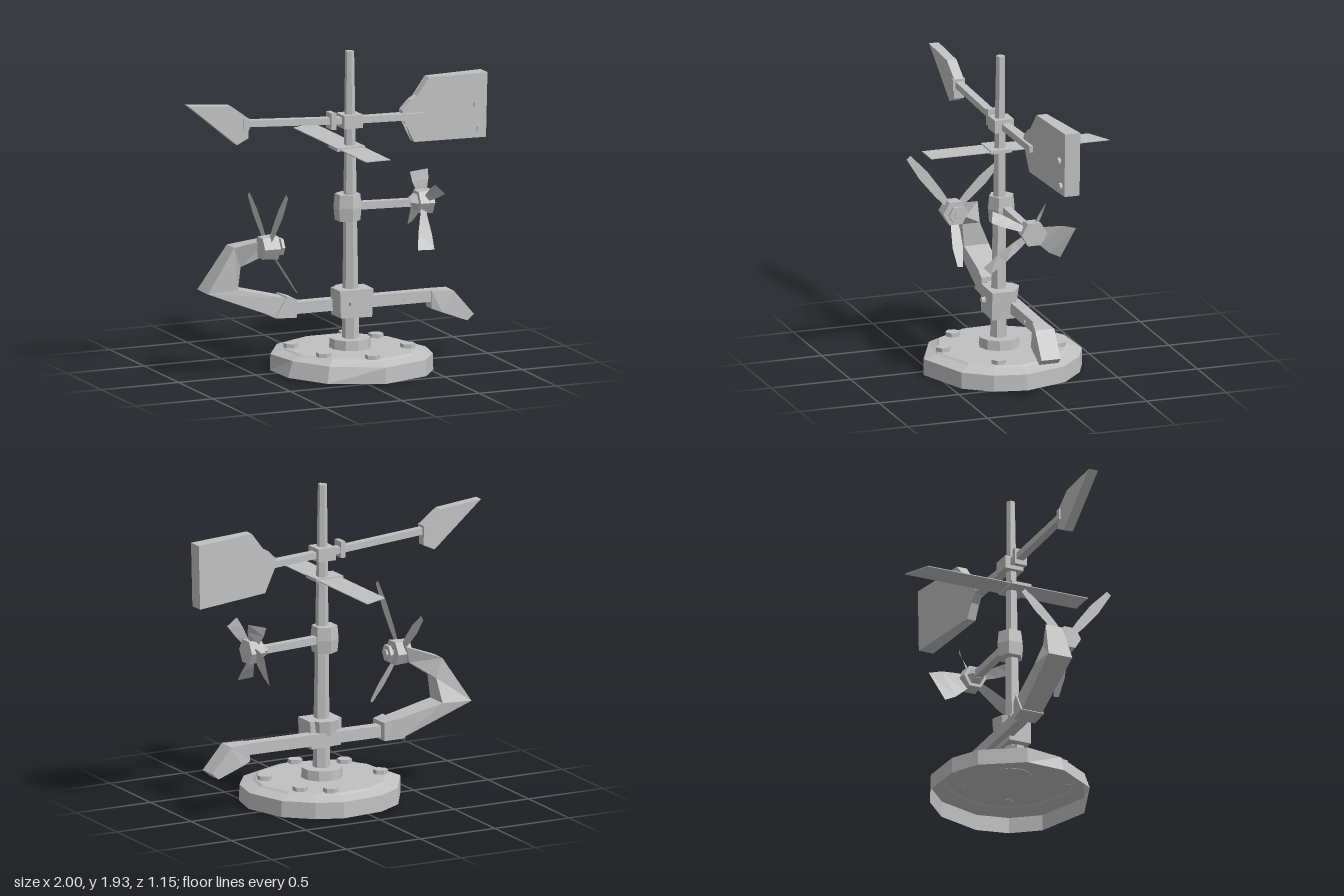
import * as THREE from 'three';

const grey = new THREE.MeshStandardMaterial({ color: 0xc0c0c0, flatShading: true, side: THREE.DoubleSide });
grey.name = 'weatheredGrey';

export function createModel() {
  const model = new THREE.Group();
  const add = (name, geometry, parent = model) => {
    const mesh = new THREE.Mesh(geometry, grey);
    mesh.name = name;
    parent.add(mesh);
    return mesh;
  };
  const at = (mesh, x, y, z) => { mesh.position.set(x, y, z); return mesh; };
  const box = (name, w, h, d, x, y, z) => at(add(name, new THREE.BoxGeometry(w, h, d)), x, y, z);
  const prism = (name, rTop, rBottom, h, sides, x, y, z, parent) =>
    at(add(name, new THREE.CylinderGeometry(rTop, rBottom, h, sides), parent), x, y, z);

  // Skin between cross-sections, each a ring of [x, y, z] corners
  const loft = (rings, capStart, capEnd) => {
    const n = rings[0].length, index = [];
    for (let r = 0; r < rings.length - 1; r++) {
      for (let i = 0; i < n; i++) {
        const a = r * n + i, b = r * n + (i + 1) % n;
        index.push(a, b, a + n, b, b + n, a + n);
      }
    }
    const last = (rings.length - 1) * n;
    for (let i = 1; i < n - 1; i++) {
      if (capStart) index.push(0, i + 1, i);
      if (capEnd) index.push(last, last + i, last + i + 1);
    }
    const g = new THREE.BufferGeometry();
    g.setAttribute('position', new THREE.Float32BufferAttribute(rings.flat(2), 3));
    g.setIndex(index);
    g.computeVertexNormals();
    return g;
  };
  // Four-sided bar; a section is lower point, upper point, middle z and depth
  const bar = (name, sections) => add(name, loft(sections.map(([x1, y1, x2, y2, z, d]) => [
    [x1, y1, z - d / 2], [x1, y1, z + d / 2], [x2, y2, z + d / 2], [x2, y2, z - d / 2],
  ]), true, true));

  // Hollow uneven base, sinking slightly toward +x and dented along one edge
  const angles = [0, 24, 48, 89, 131, 165, 194, 229, 251, 282, 302, 327].map(THREE.MathUtils.degToRad);
  const sink = x => 0.016 * (0.08 - x);
  const baseRing = (r, y, dent = 0) => angles.map((a, i) => {
    const q = r - (i === 4 || i === 5 ? dent : 0) + (i > 5 && i < 10 ? 0.008 : 0);
    const x = 0.08 + q * Math.cos(a);
    return [x, y + sink(x), 0.09 + q * Math.sin(a)];
  });
  add('base', loft([
    baseRing(0.483, 0.01), baseRing(0.48, 0.108, 0.03), baseRing(0.4, 0.13), baseRing(0.385, 0.14),
  ], false, true));
  const baseBolts = [[0.19, -0.24], [0.33, -0.12], [0.39, 0.21], [0.06, 0.44], [-0.19, 0.29], [-0.26, -0.03]];
  for (const [x, z] of baseBolts) prism('baseBolt', 0.045, 0.045, 0.025, 6, x, 0.152 + sink(x), z);

  // Pole, leaning slightly, and its collars
  prism('baseCollar', 0.122, 0.125, 0.06, 10, 0.07, 0.17, 0.09);
  prism('pole', 0.027, 0.052, 1.78, 6, 0.07, 1.04, 0.09).rotation.x = -0.008;
  prism('middleJoint', 0.076, 0.084, 0.08, 6, 0.06, 1.027, 0.075);
  prism('middleJoint', 0.084, 0.076, 0.08, 6, 0.06, 0.947, 0.075);

  // Clamp block and long lower arm
  bar('clampBlock', [
    [-0.025, 0.335, -0.03, 0.5, 0.1, 0.14],
    [0.175, 0.33, 0.185, 0.5, 0.1, 0.15],
  ]);
  prism('clampBack', 0.092, 0.08, 0.09, 8, 0.075, 0.455, 0.06);
  prism('clampBolt', 0.02, 0.02, 0.03, 6, 0.045, 0.42, 0.18).rotation.x = Math.PI / 2;
  prism('armBolt', 0.013, 0.013, 0.02, 6, 0.44, 0.385, 0.06).rotation.x = Math.PI / 2;
  bar('lowerArm', [
    [-0.3, 0.36, -0.3, 0.43, 0.015, 0.07],
    [0.605, 0.36, 0.605, 0.43, 0.03, 0.07],
  ]);
  bar('armHook', [
    [0.605, 0.32, 0.605, 0.43, 0.035, 0.08],
    [0.66, 0.3, 0.735, 0.425, 0.045, 0.12],
    [0.82, 0.238, 0.862, 0.275, 0.05, 0.12],
  ]);
  bar('armSocket', [
    [-0.27, 0.345, -0.27, 0.455, 0.01, 0.14],
    [-0.405, 0.35, -0.33, 0.475, 0, 0.15],
  ]);
  bar('bentArm', [
    [-0.4, 0.355, -0.335, 0.465, 0, 0.13],
    [-0.835, 0.53, -0.64, 0.54, -0.022, 0.155],
    [-0.67, 0.8, -0.63, 0.68, 0.015, 0.11],
    [-0.5, 0.855, -0.52, 0.76, 0.13, 0.08],
  ]);

  // Thin blade reaching toward (dy, dz), twisted about its length and leaning along x
  const leafWidths = [0.35, 0.85, 1, 0.5];
  const paddleWidths = [0.25, 0.6, 0.9, 1];
  const blade = (parent, widths, dy, dz, width, twist, lean = 0) => {
    const length = Math.hypot(dy, dz);
    const g = new THREE.PlaneGeometry(1, 1, 1, 3);
    const p = g.attributes.position;
    for (let i = 0; i < p.count; i++) {
      const t = p.getY(i) + 0.5;
      const w = p.getX(i) * width * widths[Math.round(t * 3)];
      const turn = twist * (0.6 + 0.4 * t);
      p.setXYZ(i, w * Math.sin(turn) + lean * t, length * t, w * Math.cos(turn));
    }
    g.computeVertexNormals();
    add('blade', g, parent).rotation.x = Math.atan2(dz, dy);
  };
  const rotor = (name, x, y, z, r, length) => {
    const group = new THREE.Group();
    group.name = name;
    group.position.set(x, y, z);
    model.add(group);
    prism('hub', r, r * 0.92, length, 6, 0, 0, 0, group).rotation.z = -Math.PI / 2;
    return group;
  };

  // Small rotor on the bent arm
  const sideRotor = rotor('smallRotor', -0.5, 0.81, 0.175, 0.08, 0.1);
  prism('axle', 0.025, 0.025, 0.06, 6, 0.07, 0, 0, sideRotor).rotation.z = Math.PI / 2;
  prism('axleCap', 0.055, 0.055, 0.018, 6, 0.08, 0, 0, sideRotor).rotation.z = Math.PI / 2;
  blade(sideRotor, leafWidths, 0.36, 0.28, 0.065, 0.05);
  blade(sideRotor, leafWidths, 0.27, -0.28, 0.065, 0.05);
  blade(sideRotor, leafWidths, -0.29, 0.02, 0.065, 0.1, 0.18);

  // Middle arm with its twisted rotor
  bar('rotorArm', [
    [0.12, 0.965, 0.12, 1.01, 0.065, 0.05],
    [0.52, 0.95, 0.52, 0.995, 0.06, 0.045],
  ]);
  prism('hubBack', 0.03, 0.055, 0.04, 6, 0.485, 0.975, 0.06).rotation.z = Math.PI / 2;
  const twisted = rotor('twistedRotor', 0.555, 0.975, 0.06, 0.08, 0.09);
  blade(twisted, paddleWidths, 0.12, 0.25, 0.08, 0.7);
  blade(twisted, paddleWidths, 0.17, -0.08, 0.11, 1.1, 0.01);
  blade(twisted, paddleWidths, -0.08, -0.22, 0.22, 0.35, 0.02);
  blade(twisted, paddleWidths, -0.24, 0.25, 0.11, 1.5, -0.09);

  // Flat plank through the pole
  add('plank', loft([1.353, 1.358].map(y => [
    [-0.03, y, 0.54], [0.13, y, 0.54], [0.13, y, -0.58], [-0.03, y, -0.505],
  ]), true, true));
  box('plankCollar', 0.18, 0.02, 0.13, 0.045, 1.355, 0.1);

  // Vane beam with its fittings
  bar('vaneBeam', [
    [-0.61, 1.535, -0.61, 1.575, 0.1, 0.045],
    [0.07, 1.49, 0.07, 1.53, 0.075, 0.05],
    [0.555, 1.47, 0.555, 1.51, 0.04, 0.07],
  ]);
  box('vaneCollar', 0.12, 0.08, 0.12, 0.072, 1.51, 0.08);
  box('beamRing', 0.03, 0.1, 0.08, -0.05, 1.52, 0.085);
  box('pointerRing', 0.035, 0.07, 0.075, -0.62, 1.555, 0.1);

  // Outline in x and y, given depth by a rule of x
  const plate = (name, outline, middle, depth) => add(name, loft([-0.5, 0.5].map(s =>
    outline.map(([x, y]) => [x, y, middle(x) + s * depth(x)])), true, true));
  plate('pointer', [[-1, 1.7], [-0.68, 1.435], [-0.605, 1.47], [-0.605, 1.59], [-0.72, 1.675]],
    x => 0.1 - (x + 0.6) * 0.04, () => 0.06);
  const tailMiddle = x => 0.04 - (x - 0.42) * 0.135;
  const tailDepth = x => 0.05 + (x - 0.42) * 0.08;
  plate('tail', [
    [0.42, 1.49], [0.47, 1.43], [0.5, 1.335], [0.985, 1.315], [0.995, 1.705],
    [0.6, 1.715], [0.525, 1.61], [0.48, 1.59], [0.42, 1.535],
  ], tailMiddle, tailDepth);
  for (const [x, y] of [[0.92, 1.52], [0.94, 1.37]]) {
    prism('tailBolt', 0.022, 0.022, 0.03, 8, x, y, tailMiddle(x) + tailDepth(x) / 2).rotation.x = Math.PI / 2;
  }
  return model;
}
